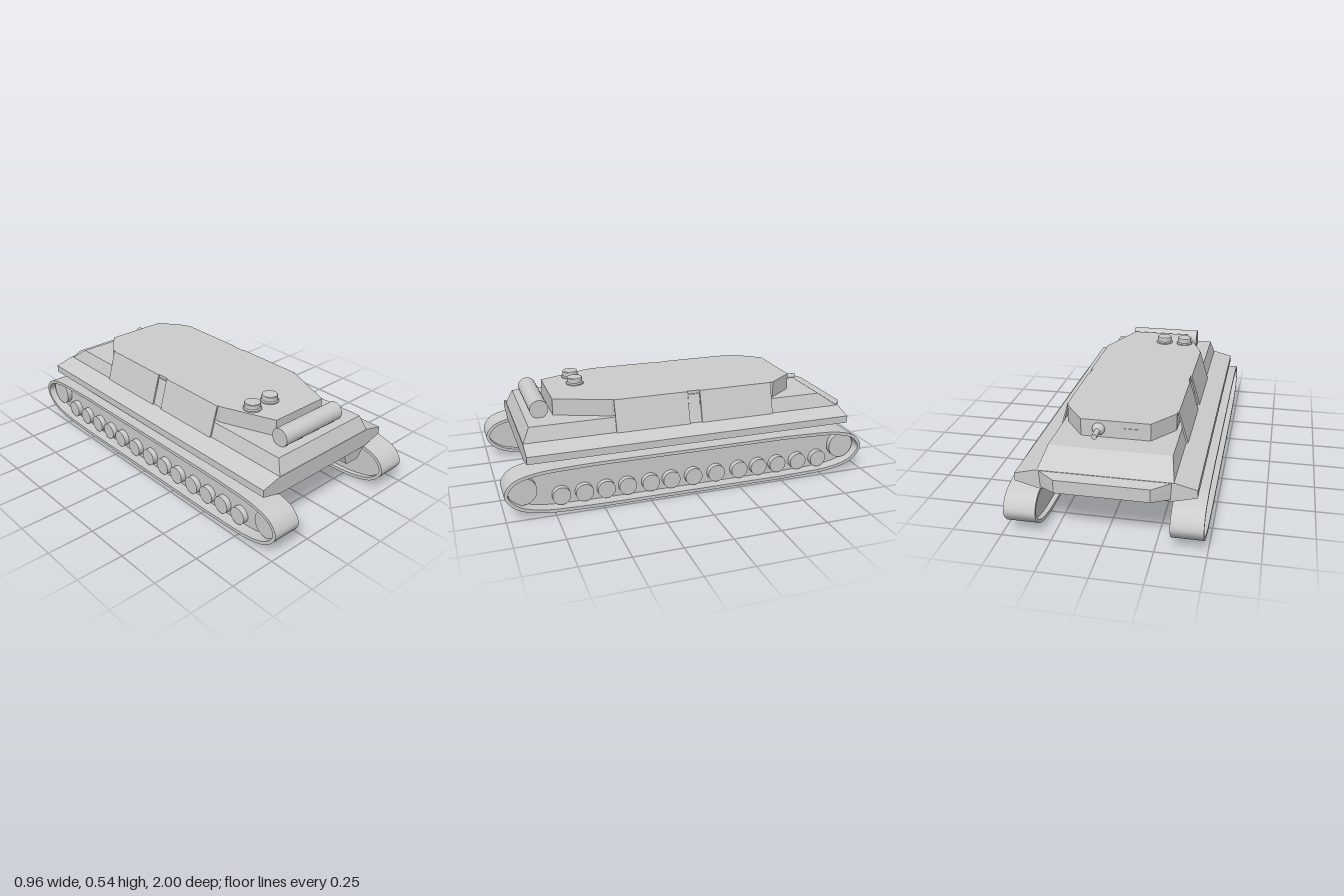
import * as THREE from 'three';
import { ConvexGeometry } from 'three/addons/geometries/ConvexGeometry.js';

const material = new THREE.MeshStandardMaterial({ color: 0xcccccc, flatShading: true });
const smooth = new THREE.MeshStandardMaterial({ color: 0xcccccc });

function add(parent, name, geometry, x = 0, y = 0, z = 0, mat = material) {
  const mesh = new THREE.Mesh(geometry, mat);
  mesh.name = name;
  mesh.position.set(x, y, z);
  parent.add(mesh);
  return mesh;
}

// Convex solid from corner points, optionally mirrored across x
function solid(points, mirror = true) {
  const all = [];
  for (const [x, y, z] of points) {
    all.push(new THREE.Vector3(x, y, z));
    if (mirror) all.push(new THREE.Vector3(-x, y, z));
  }
  return new ConvexGeometry(all);
}

// Leaning strip with an (x, y) section, running from z0 to z1 on side s
const strip = (section, s, z0, z1) =>
  solid(section.flatMap(([x, y]) => [[s * x, y, z0], [s * x, y, z1]]), false);

// Extrude a (z, y) side profile between two x positions
function sideExtrude(shape, xa, xb) {
  const g = new THREE.ExtrudeGeometry(shape, { depth: Math.abs(xb - xa), bevelEnabled: false });
  return g.rotateY(-Math.PI / 2).translate(Math.max(xa, xb), 0, 0);
}

// Cylinder lying along x
const axle = (r, length) => new THREE.CylinderGeometry(r, r, length, 32).rotateZ(Math.PI / 2);

// Closed outline of the track loop, scaled about its middle
function trackOutline(sz = 1, sy = 1) {
  const half = [[0.6, 0.002], [0.84, 0.018], [0.95, 0.058], [1, 0.128], [0.965, 0.194], [0.87, 0.231], [0.6, 0.25]];
  const ring = [...half, ...half.map(([z, y]) => [-z, y]).reverse()];
  const curve = new THREE.CatmullRomCurve3(ring.map(([z, y]) => new THREE.Vector3(z, y, 0)), true, 'centripetal');
  return curve.getPoints(140).slice(0, -1).map(p =>
    new THREE.Vector2(p.x * sz, 0.126 + (THREE.MathUtils.clamp(p.y, 0, 0.252) - 0.126) * sy));
}

// One track; s is +1 for the left side, -1 for the right
function buildTrack(s) {
  const track = new THREE.Group();
  track.name = s > 0 ? 'leftTrack' : 'rightTrack';
  // Open belt
  const belt = new THREE.Shape(trackOutline());
  belt.holes.push(new THREE.Path(trackOutline(0.982, 0.86)));
  add(track, 'trackBelt', sideExtrude(belt, s * 0.323, s * 0.482));
  // Plate recessed from both sides of the belt
  add(track, 'trackPlate', sideExtrude(new THREE.Shape(trackOutline(0.983, 0.87)), s * 0.35, s * 0.42));
  // Road wheels and end wheels
  const wheels = [0.71, 0.59, 0.475, 0.36, 0.235, 0.12, -0.005, -0.135, -0.27, -0.385, -0.5, -0.625, -0.75];
  for (const z of wheels) add(track, 'roadWheel', axle(0.047, 0.04), s * 0.43, 0.075, z);
  add(track, 'frontWheel', axle(0.073, 0.04), s * 0.43, 0.13, 0.905);
  add(track, 'rearWheel', axle(0.073, 0.04), s * 0.43, 0.14, -0.89);
  return track;
}

function buildHull() {
  const hull = new THREE.Group();
  hull.name = 'hull';
  // Lower tub with sloped ends
  const tub = new THREE.Shape([[0.87, 0.237], [0.7, 0.14], [-0.74, 0.14], [-0.92, 0.25], [-0.92, 0.3], [0.87, 0.3]]
    .map(([z, y]) => new THREE.Vector2(z, y)));
  add(hull, 'lowerHull', sideExtrude(tub, -0.32, 0.32));
  // Wide sponson slab over the tracks
  const section = [[0.32, 0.237], [0.44, 0.268], [0.44, 0.308], [0.335, 0.335]];
  add(hull, 'sponsons', solid(section.flatMap(([x, y]) => [[x, y, 0.873], [x, y, -0.925]])));
  // Upper deck with sloped sides and rear
  add(hull, 'upperHull', solid([
    [0.33, 0.33, 0.873], [0.33, 0.33, -0.925], [0.305, 0.412, 0.835], [0.305, 0.412, -0.805]]));
  // Tapered tail plate
  add(hull, 'tail', solid([
    [0.32, 0.245, -0.92], [0.32, 0.333, -0.924], [0.23, 0.257, -0.987], [0.23, 0.325, -0.987]]));
  // Pointed brackets under the nose
  for (const s of [1, -1]) {
    add(hull, 'noseBracket', solid([
      [0.32, 0.237, 0.87], [0.24, 0.2, 0.806], [0.28, 0.106, 0.8],
      [0.32, 0.14, 0.837], [0.24, 0.14, 0.7], [0.32, 0.14, 0.66]].map(([x, y, z]) => [s * x, y, z]), false));
  }
  return hull;
}

function buildTurret() {
  const turret = new THREE.Group();
  turret.name = 'turret';
  // Eight-sided casemate
  const plan = [[0.175, -0.675], [0.282, -0.53], [0.282, 0.4], [0.17, 0.687]];
  add(turret, 'casemate', solid(plan.flatMap(([x, z]) => [[x, 0.4, z], [x, 0.502, z]])));
  // Leaning side plates, with a narrow block in the gap between them
  const plate = [[0.281, 0.502], [0.289, 0.502], [0.338, 0.335], [0.329, 0.335]];
  const block = [[0.275, 0.485], [0.288, 0.485], [0.308, 0.41], [0.275, 0.41]];
  for (const s of [1, -1]) {
    add(turret, 'sidePlate', strip(plate, s, 0.385, -0.022));
    add(turret, 'sidePlate', strip(plate, s, -0.092, -0.51));
    add(turret, 'sideBlock', strip(block, s, -0.025, -0.09));
  }
  // Round hatches on the roof
  const hatch = [[0, 0.5], [0.048, 0.5], [0.048, 0.508], [0.042, 0.514], [0.042, 0.537], [0.04, 0.54], [0, 0.54]];
  for (const x of [-0.171, -0.046]) {
    add(turret, 'hatch', new THREE.LatheGeometry(hatch.map(p => new THREE.Vector2(...p)), 32), x, 0, 0.52);
  }
  // Rear gun in a ball mount, with a vision slit beside it
  add(turret, 'gunMount', new THREE.SphereGeometry(0.032, 24, 16), 0.085, 0.455, -0.675, smooth);
  add(turret, 'gunBarrel', new THREE.CylinderGeometry(0.014, 0.014, 0.1, 20).rotateX(Math.PI / 2), 0.085, 0.455, -0.717);
  add(turret, 'visionSlit', new THREE.BoxGeometry(0.075, 0.025, 0.006), -0.08, 0.455, -0.675);
  return turret;
}

export function createModel() {
  const model = new THREE.Group();
  model.name = 'trackedVehicle';
  model.add(buildHull(), buildTurret(), buildTrack(1), buildTrack(-1));
  // Roll stowed on the front deck
  add(model, 'frontRoll', axle(0.049, 0.41), -0.018, 0.457, 0.76);
  return model;
}
